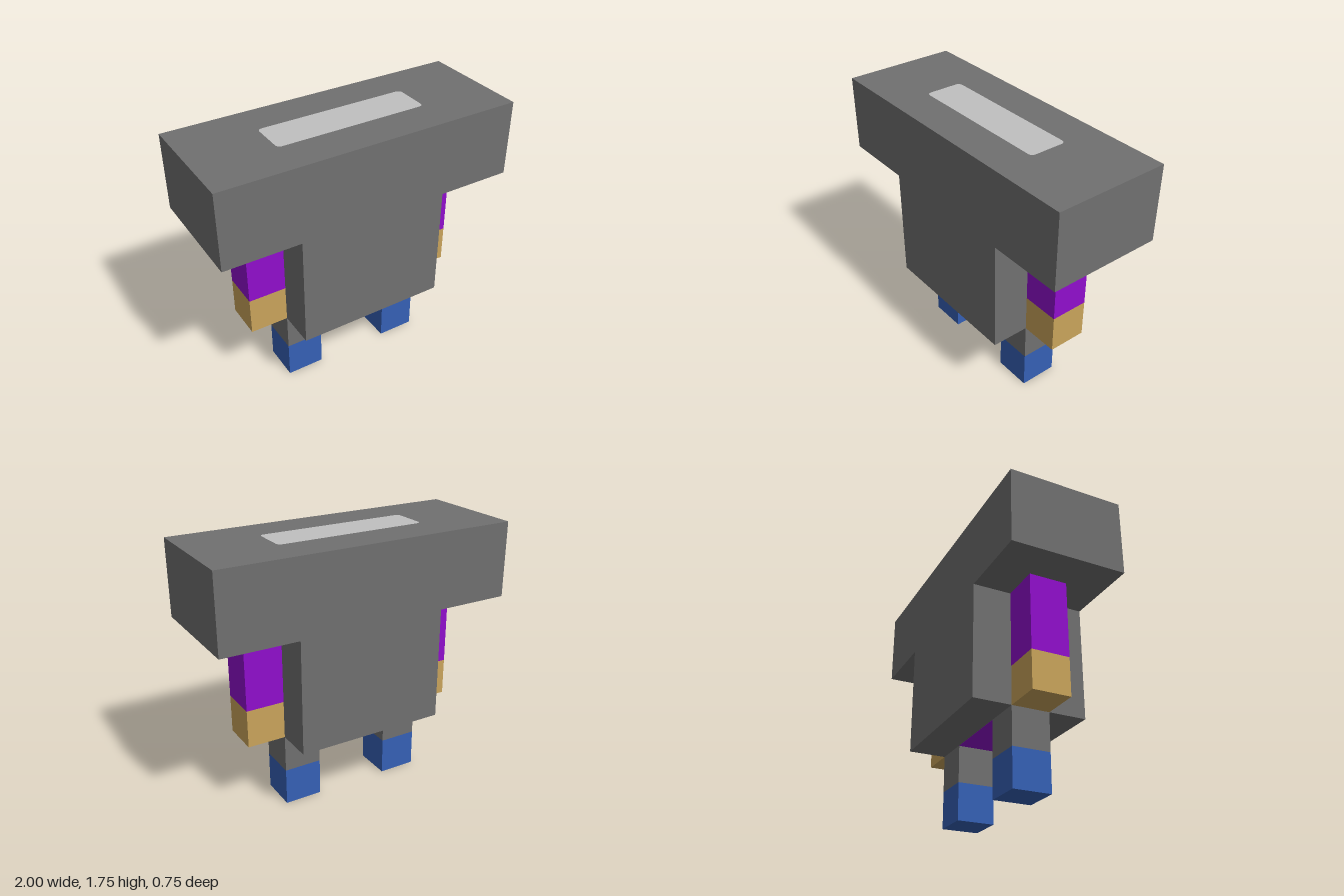
import * as THREE from 'three';

const paint = (name, color) => {
  const m = new THREE.MeshStandardMaterial({ color });
  m.name = name;
  return m;
};

export function createModel() {
  const group = new THREE.Group();
  const grey = paint('grey', 0x707070);
  const silver = paint('silver', 0xc0c0c0);
  const purple = paint('purple', 0x900ecc);
  const tan = paint('tan', 0xc9a45b);
  const blue = paint('blue', 0x3560b5);

  const add = (name, geometry, material, x = 0, y = 0, z = 0) => {
    const mesh = new THREE.Mesh(geometry, material);
    mesh.name = name;
    mesh.position.set(x, y, z);
    group.add(mesh);
  };

  // T-shaped coat: wide head block over a narrower torso
  const tee = new THREE.Shape([
    [-0.5, 0.5], [0.5, 0.5], [0.5, 1.25], [1, 1.25],
    [1, 1.75], [-1, 1.75], [-1, 1.25], [-0.5, 1.25],
  ].map(([x, y]) => new THREE.Vector2(x, y)));
  add('coat', new THREE.ExtrudeGeometry(tee, { depth: 0.75, bevelEnabled: false }), grey, 0, 0, -0.375);

  // Rounded inlay on top of the head
  const w = 0.5, h = 0.125, r = 0.03;
  const inlay = new THREE.Shape();
  inlay.absarc(w - r, h - r, r, 0, Math.PI / 2);
  inlay.absarc(-w + r, h - r, r, Math.PI / 2, Math.PI);
  inlay.absarc(-w + r, -h + r, r, Math.PI, Math.PI * 1.5);
  inlay.absarc(w - r, -h + r, r, Math.PI * 1.5, Math.PI * 2);
  add('topInlay', new THREE.ShapeGeometry(inlay, 6).rotateX(-Math.PI / 2), silver, 0, 1.752, 0);

  // Shirt showing under the torso, between the legs
  add('shirtUnderside', new THREE.BoxGeometry(0.5, 0.004, 0.25), purple, 0, 0.5, 0);

  // Arms and legs, mirrored left and right
  const limb = (name, material, x, bottom, top) =>
    add(name, new THREE.BoxGeometry(0.25, top - bottom, 0.25), material, x, (top + bottom) / 2, 0);
  for (const [side, s] of [['left', 1], ['right', -1]]) {
    limb(side + 'Sleeve', purple, s * 0.625, 0.75, 1.25);
    limb(side + 'Hand', tan, s * 0.625, 0.5, 0.75);
    limb(side + 'Leg', grey, s * 0.375, 0.25, 0.5);
    limb(side + 'Boot', blue, s * 0.375, 0, 0.25);
  }
  return group;
}
